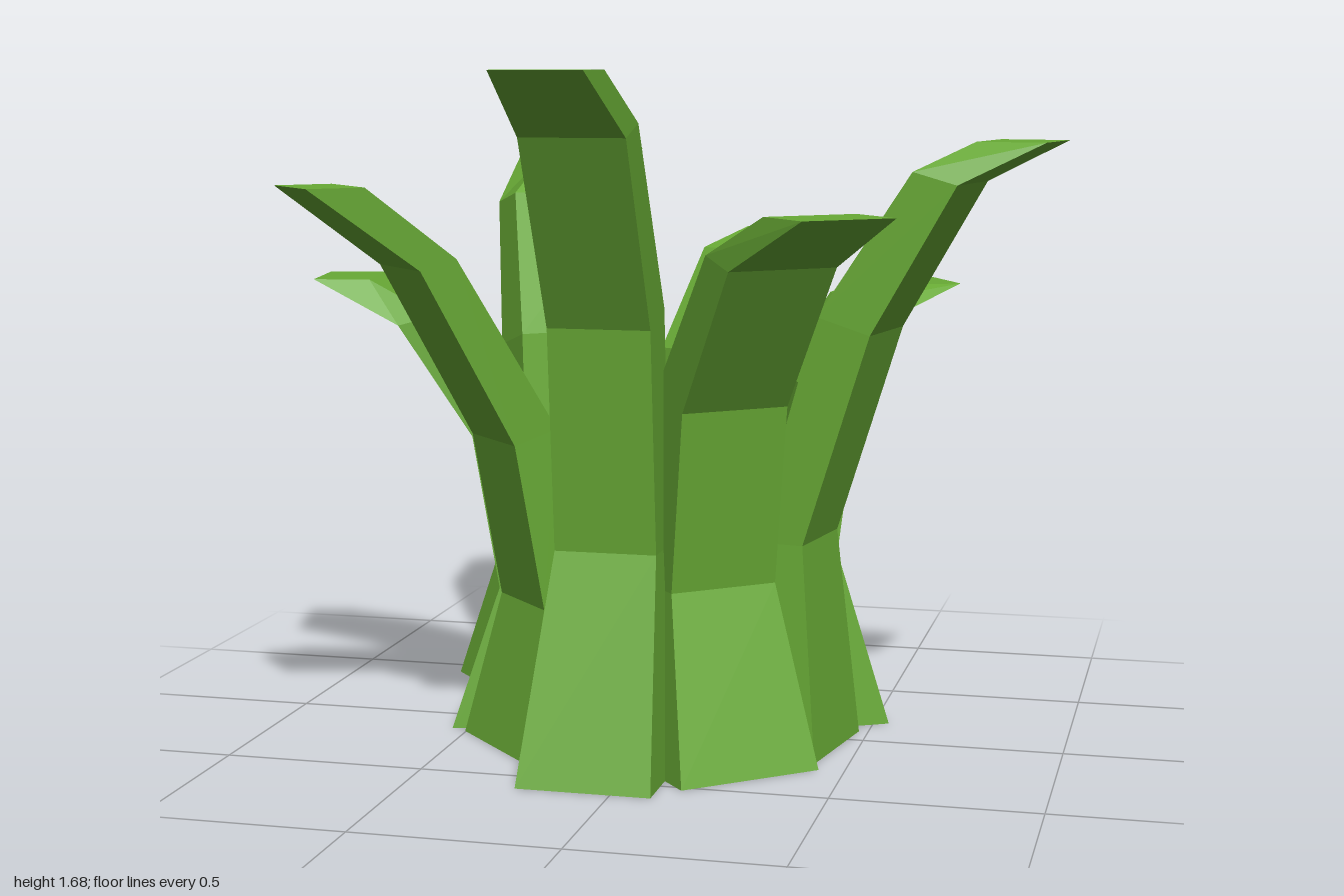
import * as THREE from 'three';

const material = new THREE.MeshStandardMaterial({ color: 0x68aa35, flatShading: true });

// Shared leaf profile, from base to tip; reach is measured outward from the waist
const REACH = [0, 0, 0.05, 0.30, 0.53];
const THICK = [0.19, 0.13, 0.135, 0.11, 0.17];
const WIDTH = [0.33, 0.25, 0.25, 0.25, 0.21];
const RISE = [0, 0, 0.04, 0.03, 0]; // inner edge sits above the outer edge
const LEAN = [0, 0, 0.1, 0.37, 1];
const BOW = [0, 0, 1, 0.85, 0];

// A leaf is a chain of rectangular sections that bends outward along local +z;
// bow pushes its middle outward, flare widens the base and shift moves it sideways
function leafGeometry({ heights, reach, width, base, lean = 0, bow = 0, shift = 0, flare = 1, thick = 1 }) {
  const ys = [0, ...heights];
  const positions = [];
  const index = [];
  ys.forEach((y, i) => {
    const t = THICK[i] * thick;
    const inner = i === 0 ? base - t : REACH[i] * reach + BOW[i] * bow;
    const outer = inner + t;
    const w = (WIDTH[i] * width * (i === 0 ? flare : 1)) / 2;
    const x = i === 0 ? shift : LEAN[i] * lean;
    const yIn = y + RISE[i] * thick;
    positions.push(x - w, y, outer, x + w, y, outer, x + w, yIn, inner, x - w, yIn, inner);
  });
  for (let i = 0; i < ys.length - 1; i++) {
    for (let c = 0; c < 4; c++) {
      const a = i * 4 + c;
      const b = i * 4 + ((c + 1) % 4);
      index.push(a, b, b + 4, a, b + 4, a + 4);
    }
  }
  // Bottom and tip caps
  const n = (ys.length - 1) * 4;
  index.push(0, 2, 1, 0, 3, 2, n, n + 1, n + 2, n, n + 2, n + 3);

  const indexed = new THREE.BufferGeometry();
  indexed.setAttribute('position', new THREE.Float32BufferAttribute(positions, 3));
  indexed.setIndex(index);
  const geometry = indexed.toNonIndexed();
  geometry.computeVertexNormals();
  return geometry;
}

// root: [x, z] of the inner waist; dir: [x, z] the leaf points to
function leaf(name, root, dir, shape) {
  const mesh = new THREE.Mesh(leafGeometry(shape), material);
  mesh.name = name;
  mesh.position.set(root[0], 0, root[1]);
  mesh.rotation.y = Math.atan2(dir[0], dir[1]);
  return mesh;
}

export function createModel() {
  const plant = new THREE.Group();
  plant.name = 'leafyPlant';

  // Ring of large leaves
  const outerLeaves = new THREE.Group();
  outerLeaves.name = 'outerLeaves';
  outerLeaves.add(
    leaf('frontLeaf', [-0.055, 0.30], [0, 1],
      { heights: [0.54, 1.08, 1.53, 1.68], reach: 1, width: 1, base: 0.30, lean: 0.007, shift: -0.012 }),
    leaf('frontLeftLeaf', [0.12, 0.197], [0.65, 0.76],
      { heights: [0.44, 0.88, 1.23, 1.36], reach: 1, width: 1.13, base: 0.27 }),
    leaf('leftLeaf', [0.27, 0.045], [0.98, 0.18],
      { heights: [0.53, 1.05, 1.41, 1.51], reach: 0.98, width: 0.98, base: 0.18, lean: 0.085, bow: 0.11 }),
    leaf('backLeftLeaf', [0.227, -0.2], [0.875, -0.484],
      { heights: [0.45, 0.84, 1.06, 1.12], reach: 0.645, width: 1.06, base: 0.26, lean: 0.117, bow: 0.02 }),
    leaf('backLeaf', [-0.012, -0.408], [0.48, -0.875],
      { heights: [0.45, 0.88, 1.155, 1.235], reach: 0.72, width: 1.42, base: 0.27, lean: 0.02, shift: 0.06 }),
    leaf('backRightLeaf', [-0.323, -0.365], [-0.66, -0.75],
      { heights: [0.45, 0.93, 1.31, 1.45], reach: 0.68, width: 1.4, base: 0.3, lean: -0.208, bow: 0.04, shift: 0.02 }),
    leaf('rightLeaf', [-0.35, -0.085], [-0.983, 0.18],
      { heights: [0.36, 0.75, 1.03, 1.14], reach: 0.86, width: 1.1, base: 0.23, lean: -0.097, bow: 0.02, thick: 0.85 }),
    leaf('frontRightLeaf', [-0.25, 0.13], [-0.725, 0.69],
      { heights: [0.36, 0.775, 1.21, 1.41], reach: 1.085, width: 0.95, base: 0.2, lean: 0.04, bow: 0.02, thick: 0.85 }),
  );

  // Short upright leaves at the heart
  const innerLeaves = new THREE.Group();
  innerLeaves.name = 'innerLeaves';
  const small = { heights: [0.23, 0.46, 0.64, 0.71], width: 0.7, base: 0.08, flare: 0.65, thick: 0.52 };
  innerLeaves.add(
    leaf('innerBackRightLeaf', [-0.13, -0.147], [-0.475, -0.88], { ...small, reach: 0.34, lean: -0.055 }),
    leaf('innerBackLeftLeaf', [-0.01, -0.1], [0.56, -0.83], { ...small, reach: 0.17, lean: -0.07 }),
    leaf('innerFrontLeaf', [0.005, 0.092], [-0.2, 0.98], { ...small, reach: 0.1, lean: -0.073 }),
  );

  plant.add(outerLeaves, innerLeaves);
  return plant;
}
